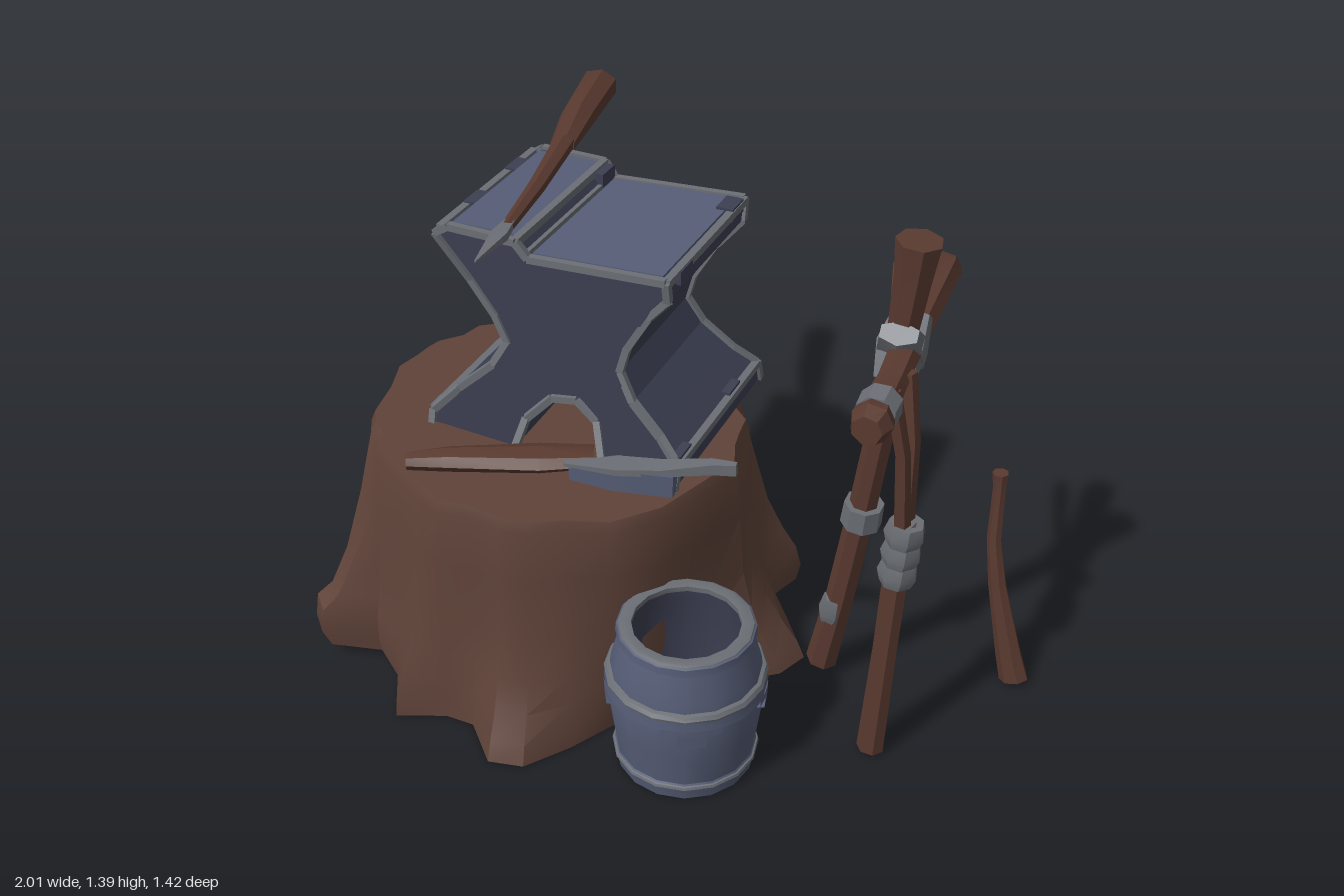
import * as THREE from 'three';
import { toCreasedNormals } from 'three/addons/utils/BufferGeometryUtils.js';

const mat = (name, color, extra = {}) => {
  const m = new THREE.MeshStandardMaterial({ color, ...extra });
  m.name = name;
  return m;
};
const V = (x, y, z) => new THREE.Vector3(x, y, z);

// Closed skin through counter-clockwise rings, capped at both ends
function loft(rings, crease = 0.5) {
  const n = rings[0].length, pos = [], idx = [];
  rings.forEach(r => r.forEach(p => pos.push(p.x, p.y, p.z)));
  for (let k = 0; k < rings.length - 1; k++) {
    for (let i = 0; i < n; i++) {
      const a = k * n + i, b = k * n + (i + 1) % n;
      idx.push(a, b, b + n, a, b + n, a + n);
    }
  }
  [0, rings.length - 1].forEach((k, end) => {
    const c = V(0, 0, 0);
    rings[k].forEach(p => c.addScaledVector(p, 1 / n));
    const ci = pos.length / 3;
    pos.push(c.x, c.y, c.z);
    for (let i = 0; i < n; i++) {
      const a = k * n + i, b = k * n + (i + 1) % n;
      if (end) idx.push(ci, a, b); else idx.push(ci, b, a);
    }
  });
  const g = new THREE.BufferGeometry();
  g.setAttribute('position', new THREE.Float32BufferAttribute(pos, 3));
  g.setIndex(idx);
  return toCreasedNormals(g, crease);
}

export function createModel() {
  const root = new THREE.Group();
  const bark = mat('stump wood', 0x5f4339);
  const wood = mat('handle wood', 0x5a3a30);
  const steel = mat('blue steel', 0x565d76, { side: THREE.DoubleSide });
  const dark = mat('dark steel', 0x3c3f52);
  const grey = mat('worn grey', 0x6b6f75);

  const add = (name, geo, material, parent = root) => {
    const m = new THREE.Mesh(geo, material);
    m.name = name;
    parent.add(m);
    return m;
  };
  // Rod through stations [x, y, z, width radius, thickness radius]
  const rod = (name, st, material, sides = 7, parent = root) => {
    const pts = st.map(s => V(s[0], s[1], s[2]));
    const rings = st.map((s, k) => {
      const d = pts[Math.min(k + 1, st.length - 1)].clone().sub(pts[Math.max(k - 1, 0)]).normalize();
      const u = (Math.abs(d.y) > 0.8 ? V(1, 0, 0) : V(0, 1, 0)).cross(d).normalize();
      const v = d.clone().cross(u);
      return Array.from({ length: sides }, (_, i) => {
        const a = (i + 0.5) / sides * Math.PI * 2;
        return pts[k].clone().addScaledVector(u, Math.cos(a) * s[3]).addScaledVector(v, Math.sin(a) * (s[4] ?? s[3]));
      });
    });
    return add(name, loft(rings), material, parent);
  };

  // Stump: round top flowing into the root outline
  const outline = [
    [-1, -0.1], [-0.94, -0.15], [-0.8, -0.2], [-0.84, -0.33], [-0.76, -0.4], [-0.63, -0.39], [-0.4, -0.36],
    [-0.28, -0.45], [-0.17, -0.52], [-0.07, -0.53], [0.04, -0.43], [0.2, -0.38], [0.3, -0.32], [0.25, -0.19],
    [0.24, -0.11], [0.36, -0.08], [0.43, 0], [0.39, 0.09], [0.25, 0.2], [0.13, 0.34], [0.06, 0.46], [0, 0.57],
    [-0.08, 0.68], [-0.17, 0.7], [-0.27, 0.6], [-0.35, 0.6], [-0.47, 0.66], [-0.53, 0.54], [-0.63, 0.47],
    [-0.77, 0.53], [-0.82, 0.48], [-0.75, 0.35], [-0.81, 0.22], [-0.83, 0.1], [-0.93, 0]].reverse();
  // Height, spread of the broad back and left roots, spread of the steep front roots
  const levels = [[0.01, 0.9, 1], [0.06, 1, 0.84], [0.13, 0.95, 0.55], [0.21, 0.74, 0.32], [0.32, 0.5, 0.13],
    [0.5, 0.24, 0.04], [0.66, 0.04, 0], [0.69, 0, 0]];
  const cx = -0.245, cz = 0.1;
  add('stump', loft(levels.map(([y, broad, steep], k) => outline.map(([x, z], i) => {
    const a = Math.atan2(z - cz, x - cx), w = 1 + 0.025 * Math.sin(i * 2.3) - (k === 7 ? 0.02 : 0);
    const tx = cx + Math.cos(a) * 0.485 * w, tz = cz + Math.sin(a) * 0.465 * w;
    const f = THREE.MathUtils.lerp(broad, steep, THREE.MathUtils.clamp(1.3 * Math.cos(a - 0.8), 0, 1));
    const px = tx + (x - tx) * f, pz = tz + (z - tz) * f;
    const lift = y < 0.2 ? 0.06 * THREE.MathUtils.clamp((-0.45 - px) / 0.5, 0, 1) : 0;
    return V(px, y + lift - (y > 0.6 ? (px - cx) * 0.04 + (pz - cz) * 0.02 : 0), pz);
  })), 0.6), bark);

  // Anvil: side profile extruded front to back, waisted in depth
  const anvil = new THREE.Group();
  anvil.name = 'anvil';
  root.add(anvil);
  const depths = [[0.68, 0.285], [0.73, 0.27], [0.8, 0.228], [0.95, 0.2], [1.1, 0.208], [1.19, 0.238], [1.27, 0.247]];
  const halfDepth = y => {
    const i = Math.max(1, depths.findIndex(d => d[0] >= y));
    return THREE.MathUtils.mapLinear(y, depths[i - 1][0], depths[i][0], depths[i - 1][1], depths[i][1]);
  };
  const profile = [
    [-0.52, 0.68], [-0.28, 0.68], [-0.26, 0.76], [-0.2, 0.82], [-0.13, 0.83], [-0.07, 0.79], [-0.03, 0.68],
    [0.16, 0.68], [0.16, 0.74], [0.1, 0.79], [0.02, 0.86], [-0.02, 0.93], [0, 1], [0.06, 1.1], [0.12, 1.17],
    [0.12, 1.225], [-0.24, 1.21], [-0.27, 1.25], [-0.45, 1.255], [-0.49, 1.23], [-0.42, 1.1], [-0.36, 1.01],
    [-0.33, 0.94], [-0.37, 0.87], [-0.46, 0.79], [-0.52, 0.73]];
  const body = new THREE.ExtrudeGeometry(new THREE.Shape(profile.map(p => new THREE.Vector2(...p))),
    { depth: 1, bevelEnabled: false });
  const bp = body.attributes.position;
  for (let i = 0; i < bp.count; i++) bp.setZ(i, (bp.getZ(i) - 0.5) * 2 * halfDepth(bp.getY(i)));
  add('anvilBody', body, dark, anvil);
  // Worn edges on both faces and along the top
  for (const s of [1, -1]) {
    profile.forEach(([x, y], i) => {
      const [x2, y2] = profile[(i + 1) % profile.length];
      if (y < 0.69 && y2 < 0.69) return;
      rod('wornEdge', [[x, y, s * halfDepth(y), 0.013], [x2, y2, s * halfDepth(y2), 0.013]], grey, 4, anvil);
    });
  }
  [[0.12, 1.222], [-0.25, 1.215], [-0.27, 1.25], [-0.475, 1.243], [-0.52, 0.73], [0.16, 0.74]].forEach(([x, y]) => {
    const h = halfDepth(y);
    rod('wornCrossEdge', [[x, y, -h, 0.014], [x, y, h, 0.014]], grey, 4, anvil);
  });
  // Polished top faces
  const face = add('workFace', new THREE.BoxGeometry(0.34, 0.008, 0.45), steel, anvil);
  face.position.set(-0.065, 1.221, 0);
  face.rotation.z = 0.04;
  add('raisedFace', new THREE.BoxGeometry(0.17, 0.008, 0.45), steel, anvil).position.set(-0.365, 1.254, 0);
  // Chips in the edges
  [[0.105, 1.22, -0.18], [0.11, 1.21, 0.15], [-0.46, 1.24, 0.08], [-0.46, 1.24, -0.13], [-0.26, 1.235, -0.2],
    [0.14, 0.74, 0.22], [0.14, 0.74, -0.1]].forEach(([x, y, z]) => {
    add('chip', new THREE.BoxGeometry(0.045, 0.035, 0.07), dark, anvil).position.set(x, y, z);
  });

  // Long tool lying across the anvil
  rod('longToolHandle', [[-0.51, 1.26, -0.71, 0.036, 0.03], [-0.5, 1.262, -0.68, 0.055, 0.046],
    [-0.45, 1.265, -0.45, 0.048, 0.04], [-0.39, 1.275, -0.24, 0.034, 0.02]], wood);
  rod('longToolShaft', [[-0.39, 1.28, -0.25, 0.03, 0.022], [-0.33, 1.282, 0.02, 0.022, 0.019],
    [-0.29, 1.285, 0.24, 0.016, 0.014]], wood, 6);
  rod('longToolTip', [[-0.295, 1.285, 0.21, 0.015, 0.012], [-0.285, 1.285, 0.29, 0.028, 0.014],
    [-0.27, 1.288, 0.43, 0.003, 0.003]], grey, 4);

  // Knife lying on the stump
  rod('knifeHandle', [[-0.47, 0.72, 0.49, 0.025, 0.022], [-0.38, 0.72, 0.44, 0.04, 0.028],
    [-0.18, 0.715, 0.34, 0.055, 0.028], [-0.06, 0.715, 0.28, 0.045, 0.022]], wood);
  rod('knifeCollar', [[-0.09, 0.71, 0.35, 0.02, 0.025], [0.02, 0.715, 0.32, 0.05, 0.042],
    [0.17, 0.715, 0.3, 0.03, 0.042]], steel, 4);
  rod('knifeBlade', [[-0.1, 0.735, 0.36, 0.01, 0.006], [0.03, 0.742, 0.325, 0.045, 0.012],
    [0.14, 0.75, 0.3, 0.035, 0.014], [0.25, 0.762, 0.262, 0.022, 0.02], [0.31, 0.765, 0.252, 0.012, 0.022]], grey, 4);

  // Barrel: open at both ends
  const barrel = new THREE.Group();
  barrel.name = 'barrel';
  barrel.position.set(0.268, 0, 0.452);
  root.add(barrel);
  const lathe = (name, pts, m, start = 0, length = Math.PI * 2, sides = 16) => add(name, toCreasedNormals(
    new THREE.LatheGeometry(pts.map(p => new THREE.Vector2(...p)), sides, start, length), 0.5), m, barrel);
  lathe('barrelWall', [[0.146, 0.01], [0.175, 0.01], [0.183, 0.05], [0.177, 0.06], [0.19, 0.16], [0.196, 0.24],
    [0.185, 0.33], [0.166, 0.4], [0.174, 0.405], [0.172, 0.425], [0.16, 0.43]], steel);
  lathe('barrelInside', [[0.136, 0.425], [0.14, 0.39], [0.16, 0.25], [0.146, 0.01]], dark);
  lathe('barrelRim', [[0.171, 0.42], [0.166, 0.43], [0.158, 0.433], [0.135, 0.43], [0.136, 0.415]], grey);
  lathe('barrelHoop', [[0.19, 0.25], [0.204, 0.255], [0.201, 0.29], [0.186, 0.3]], steel);
  lathe('hoopWear', [[0.202, 0.283], [0.204, 0.29], [0.198, 0.3], [0.186, 0.303]], grey);
  lathe('baseWear', [[0.181, 0.043], [0.186, 0.047], [0.184, 0.054], [0.175, 0.057]], grey);
  // Stepped drips under the hoop and a worn patch
  [[0.1, 0.05], [1.5, 0.05], [3.3, 0.04], [4.8, 0.05]].forEach(([a, h]) => {
    lathe('hoopDrip', [[0.192, 0.235], [0.204, 0.24], [0.204, 0.26]], steel, a, 0.75, 4);
    lathe('hoopDrip', [[0.19, 0.25 - h], [0.202, 0.255 - h], [0.204, 0.245]], steel, a + 0.2, 0.35, 2);
  });
  const patch = add('wornPatch', new THREE.CylinderGeometry(0.04, 0.04, 0.008, 7), grey, barrel);
  patch.position.set(0.126, 0.13, -0.139);
  patch.rotation.set(0, Math.atan2(0.139, 0.126), -Math.PI / 2);

  // Wooden rack
  const rack = new THREE.Group();
  rack.name = 'rack';
  root.add(rack);
  const pole = (name, st, sides = 7) => rod(name, st, wood, sides, rack);
  const wrap = (name, st, sides = 7) => rod(name, st, grey, sides, rack);
  pole('mainPole', [[0.485, 0.055, 0.03, 0.043], [0.53, 0.3, 0.05, 0.038], [0.58, 0.62, 0.08, 0.036],
    [0.645, 1.1, 0.11, 0.034], [0.665, 1.3, 0.118, 0.045], [0.672, 1.395, 0.12, 0.055]]);
  pole('secondPole', [[0.7, 0.02, 0.26, 0.036], [0.715, 0.35, 0.26, 0.031], [0.73, 0.74, 0.255, 0.032]]);
  pole('secondPoleFork', [[0.73, 0.7, 0.265, 0.022], [0.72, 0.95, 0.29, 0.019], [0.69, 1.12, 0.31, 0.02]], 5);
  pole('secondPoleFork', [[0.73, 0.7, 0.24, 0.022], [0.725, 0.95, 0.23, 0.019], [0.7, 1.12, 0.22, 0.02]], 5);
  pole('crossbar', [[0.68, 1.1, 0.455, 0.036], [0.68, 1.1, 0.42, 0.05], [0.676, 1.1, 0.37, 0.042],
    [0.672, 1.105, 0.25, 0.036], [0.66, 1.13, 0.05, 0.04], [0.65, 1.155, -0.21, 0.046], [0.65, 1.16, -0.235, 0.036]]);
  pole('sideBranch', [[0.65, 1.09, 0.1, 0.024], [0.6, 1.11, 0, 0.018], [0.54, 1.14, -0.21, 0.018]], 5);
  // Grey bindings
  wrap('mainPoleBand', [[0.576, 0.57, 0.077, 0.052], [0.583, 0.635, 0.082, 0.05]], 8);
  wrap('mainPolePatch', [[0.505, 0.22, 0.052, 0.03], [0.513, 0.25, 0.056, 0.038], [0.52, 0.3, 0.06, 0.03]], 6);
  wrap('crossbarBand', [[0.678, 1.1, 0.39, 0.048], [0.676, 1.103, 0.335, 0.05]], 8);
  for (let k = 0; k < 3; k++) {
    wrap('secondPoleBand', [[0.724 + 0.004 * k, 0.56 + 0.058 * k, 0.257, 0.04], [0.726 + 0.004 * k, 0.59 + 0.058 * k, 0.255, 0.05],
      [0.73 + 0.004 * k, 0.625 + 0.058 * k, 0.255, 0.042]]);
  }
  for (const s of [1, -1]) {
    wrap('jointLashing', [[0.65, 1.05, 0.11 - s * 0.054, 0.05, 0.03], [0.65, 1.115, 0.11, 0.064, 0.054],
      [0.655, 1.178, 0.11 + s * 0.054, 0.05, 0.03]], 6);
  }

  // Loose curved stick
  rod('looseStick', [[0.97, 0.02, -0.14, 0.03, 0.04], [0.947, 0.1, -0.14, 0.028, 0.035], [0.893, 0.31, -0.145, 0.021, 0.024],
    [0.868, 0.45, -0.15, 0.019], [0.862, 0.6, -0.165, 0.017], [0.86, 0.645, -0.165, 0.021]], wood);

  return root;
}
